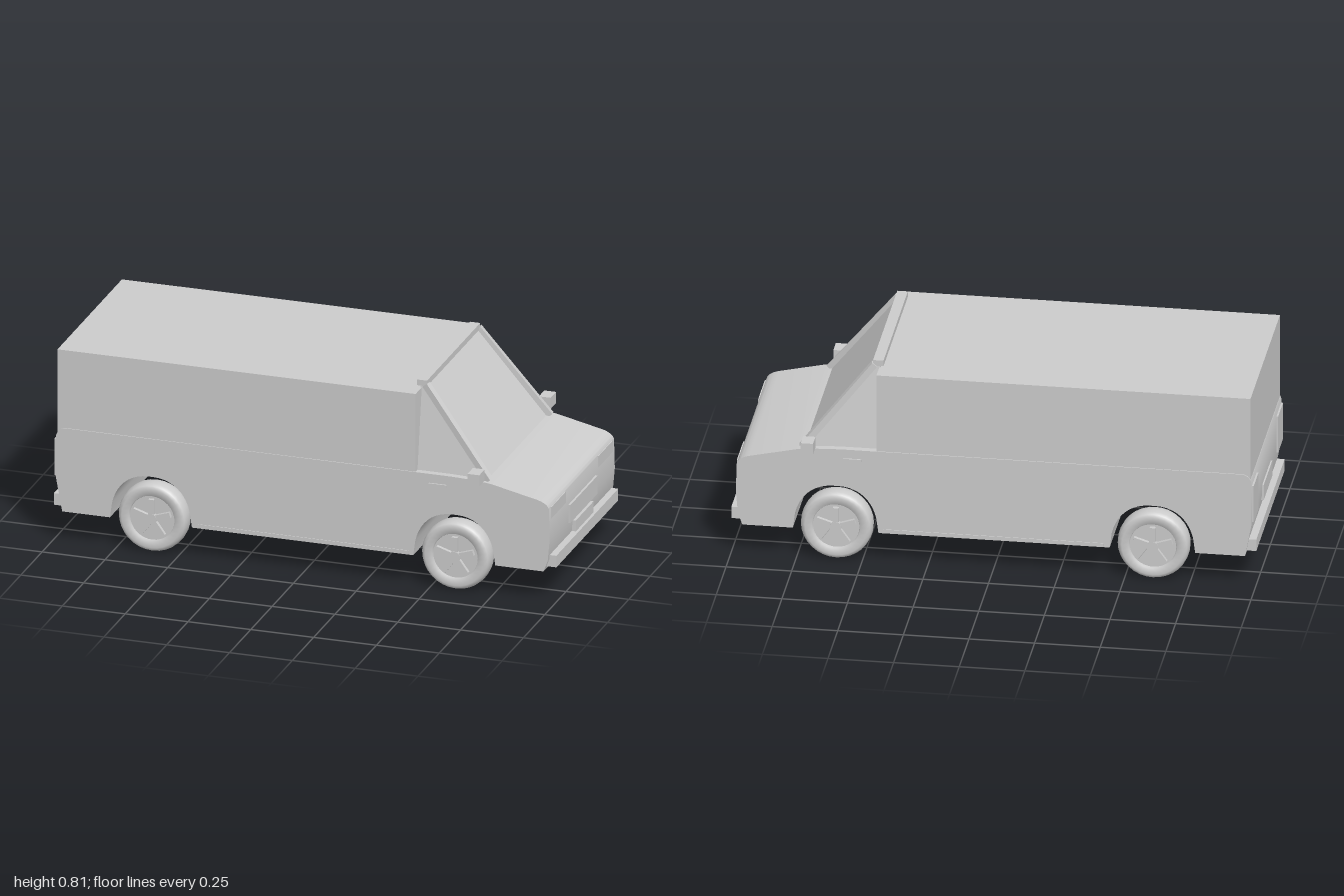
import * as THREE from 'three';
import { toCreasedNormals } from 'three/addons/utils/BufferGeometryUtils.js';

export function createModel() {
  const van = new THREE.Group();
  van.name = 'van';
  const grey = new THREE.MeshStandardMaterial({ color: 0xcccccc });
  grey.name = 'plain grey';

  const add = (name, geometry, parent = van) => {
    const mesh = new THREE.Mesh(geometry, grey);
    mesh.name = name;
    parent.add(mesh);
    return mesh;
  };
  // Box given by its lower and upper limits on each axis
  const block = (name, x0, x1, y0, y1, z0, z1, parent = van) => {
    const mesh = add(name, new THREE.BoxGeometry(x1 - x0, y1 - y0, z1 - z0), parent);
    mesh.position.set((x0 + x1) / 2, (y0 + y1) / 2, (z0 + z1) / 2);
    return mesh;
  };
  const axles = [-0.607, 0.6];

  // Lower body: side profile with wheel arches, extruded across the width
  const profile = new THREE.Shape();
  profile.moveTo(-0.96, 0.125);
  for (const x of axles) {
    profile.lineTo(x - 0.163, 0.125);
    profile.lineTo(x - 0.155, 0.185);
    profile.bezierCurveTo(x - 0.14, 0.255, x - 0.09, 0.31, x - 0.01, 0.31);
    profile.lineTo(x + 0.01, 0.31);
    profile.bezierCurveTo(x + 0.09, 0.31, x + 0.14, 0.255, x + 0.155, 0.185);
    profile.lineTo(x + 0.163, 0.125);
  }
  profile.lineTo(0.955, 0.125);
  profile.lineTo(0.972, 0.17);
  profile.lineTo(0.98, 0.26);
  profile.lineTo(0.977, 0.375);
  profile.quadraticCurveTo(0.975, 0.4, 0.93, 0.412);
  profile.lineTo(0.75, 0.452);
  profile.quadraticCurveTo(0.68, 0.462, 0.56, 0.463);
  profile.lineTo(-0.95, 0.463);
  profile.quadraticCurveTo(-0.975, 0.46, -0.985, 0.43);
  profile.lineTo(-0.985, 0.26);
  const bodyGeometry = new THREE.ExtrudeGeometry(profile, { depth: 0.764, bevelEnabled: false, curveSegments: 10 });
  bodyGeometry.translate(0, 0, -0.382);
  add('lowerBody', toCreasedNormals(bodyGeometry, 0.7));

  // Cargo box
  block('cargoBox', -0.98, 0.445, 0.44, 0.778, -0.378, 0.378);

  // Glazed cab: a box tapered inwards and raked at the front
  const cabGeometry = new THREE.BoxGeometry(1, 1, 1).toNonIndexed();
  const p = cabGeometry.attributes.position;
  for (let i = 0; i < p.count; i++) {
    const top = p.getY(i) > 0;
    const front = p.getX(i) > 0;
    p.setXYZ(i, front ? (top ? 0.465 : 0.725) : 0.44, top ? 0.787 : 0.45,
      Math.sign(p.getZ(i)) * (top ? 0.305 : 0.358));
  }
  cabGeometry.computeVertexNormals();
  add('cabGlass', cabGeometry);
  block('roofHeader', 0.428, 0.468, 0.787, 0.81, -0.312, 0.312);

  for (const side of [-1, 1]) {
    // Windscreen pillar
    const low = new THREE.Vector3(0.732, 0.455, side * 0.357);
    const high = new THREE.Vector3(0.463, 0.793, side * 0.307);
    const pillar = add('windscreenPillar', new THREE.BoxGeometry(0.025, 0.024, low.distanceTo(high)));
    pillar.position.copy(low).add(high).multiplyScalar(0.5);
    pillar.lookAt(high);

    // Side fittings
    const mirror = block('sideMirror', 0.676, 0.723, 0.466, 0.511, -0.032, 0.032);
    mirror.position.z = side * 0.419;
    const arm = block('mirrorArm', 0.69, 0.705, 0.468, 0.485, -0.025, 0.025);
    arm.position.z = side * 0.375;
    const handle = block('doorHandle', 0.5, 0.57, 0.417, 0.427, -0.005, 0.005);
    handle.position.z = side * 0.383;
    const sill = block('sillTrim', -0.42, 0.42, 0.128, 0.142, -0.003, 0.003);
    sill.position.z = side * 0.382;

    // Lamps
    const headlamp = block('headlamp', 0.955, 0.98, 0.335, 0.381, -0.084, 0.084);
    headlamp.position.z = side * 0.275;
    const tailLamp = block('tailLamp', -0.992, -0.97, 0.265, 0.415, -0.062, 0.062);
    tailLamp.position.z = side * 0.313;
  }

  // Front and rear fittings
  block('grille', 0.96, 0.987, 0.242, 0.315, -0.16, 0.16);
  block('frontPlate', 0.96, 0.99, 0.188, 0.232, -0.105, 0.105);
  block('frontBumper', 0.95, 1, 0.14, 0.187, -0.363, 0.363);
  block('rearPlate', -0.991, -0.96, 0.235, 0.298, -0.11, 0.11);
  block('rearBumper', -1, -0.95, 0.14, 0.187, -0.363, 0.363);

  // Wheels: rounded tyre, recessed rim and five spokes
  const tyreGeometry = new THREE.LatheGeometry([
    [0.088, -0.028], [0.092, -0.04], [0.118, -0.042], [0.13, -0.036], [0.136, -0.022],
    [0.138, 0], [0.136, 0.022], [0.13, 0.036], [0.118, 0.042], [0.092, 0.04], [0.088, 0.028],
  ].map(([r, h]) => new THREE.Vector2(r, h)), 32);
  tyreGeometry.rotateX(Math.PI / 2);
  const rimGeometry = new THREE.CylinderGeometry(0.09, 0.09, 0.06, 32);
  rimGeometry.rotateX(Math.PI / 2);
  const hubGeometry = new THREE.CylinderGeometry(0.022, 0.022, 0.094, 16);
  hubGeometry.rotateX(Math.PI / 2);
  for (const x of axles) {
    for (const side of [-1, 1]) {
      const wheel = new THREE.Group();
      wheel.name = 'wheel';
      wheel.position.set(x, 0.138, side * 0.336);
      add('tyre', tyreGeometry, wheel);
      add('rim', rimGeometry, wheel);
      add('hub', hubGeometry, wheel);
      for (let i = 0; i < 5; i++) {
        const angle = Math.PI / 2 + (i * Math.PI * 2) / 5;
        const spoke = add('spoke', new THREE.BoxGeometry(0.072, 0.022, 0.09), wheel);
        spoke.position.set(Math.cos(angle) * 0.042, Math.sin(angle) * 0.042, 0);
        spoke.rotation.z = angle;
      }
      van.add(wheel);
    }
  }
  return van;
}
